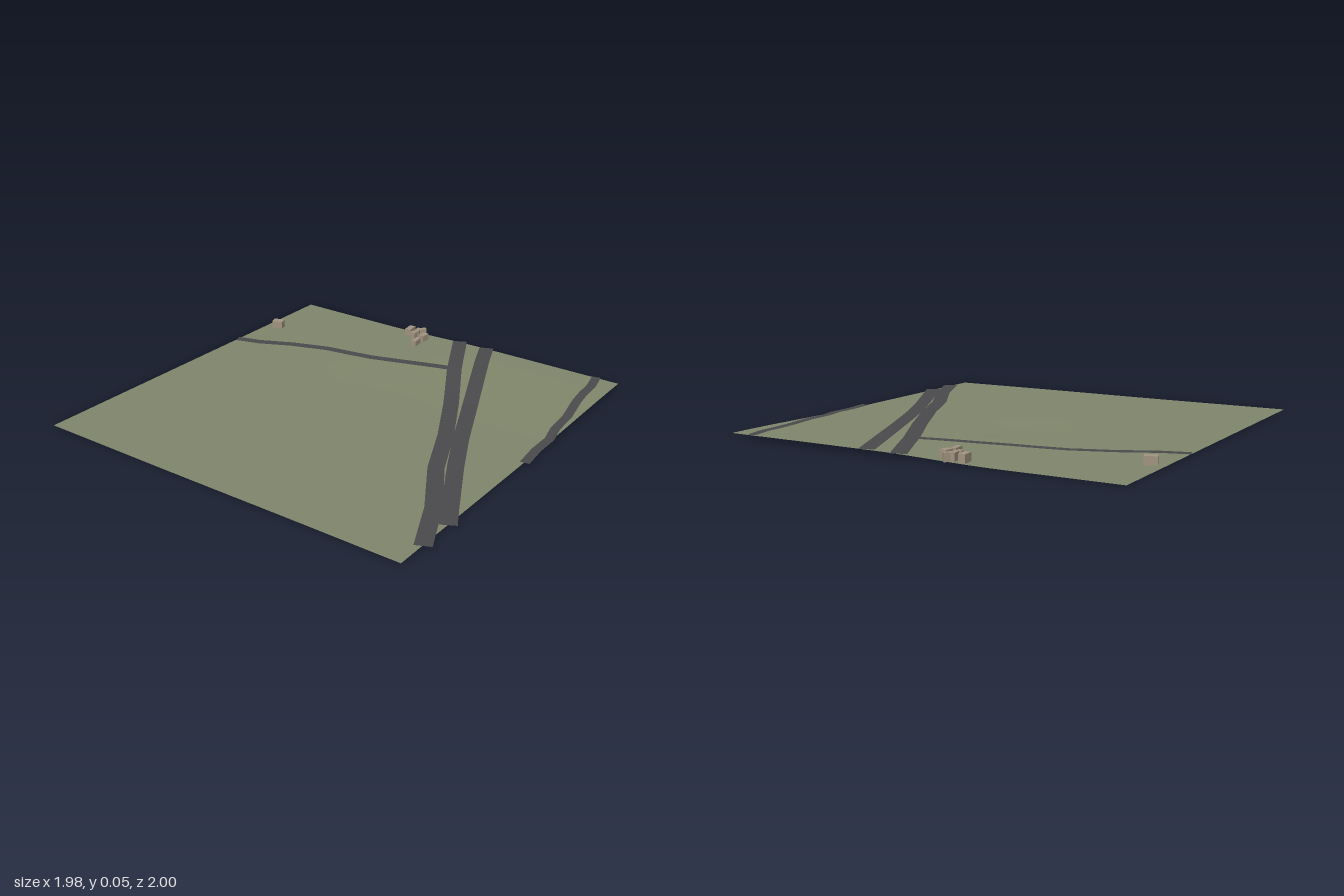
import * as THREE from 'three';

const X0 = -0.99, X1 = 0.965, Z0 = -0.995, Z1 = 0.955;
const step = THREE.MathUtils.smoothstep;

// Ground height: nearly flat, rising gently to the front right
function heightAt(x, z) {
  const rise = 0.012 * step(x, 0.1, 0.95) * step(z, -0.45, 0.15);
  const front = 0.003 * step(z, -0.4, 0.6);
  const dip = 0.006 * Math.exp(-((x - 0.2) ** 2 + (z + 0.12) ** 2) / 0.05);
  return 0.006 + rise + front - dip;
}

function material(color, side = THREE.FrontSide) {
  return new THREE.MeshStandardMaterial({ color, side });
}

function makeGround() {
  const geo = new THREE.PlaneGeometry(X1 - X0, Z1 - Z0, 40, 40);
  geo.rotateX(-Math.PI / 2);
  geo.translate((X0 + X1) / 2, 0, (Z0 + Z1) / 2);
  const p = geo.attributes.position;
  for (let i = 0; i < p.count; i++) p.setY(i, heightAt(p.getX(i), p.getZ(i)));
  geo.computeVertexNormals();
  const mesh = new THREE.Mesh(geo, material(0x7f866b, THREE.DoubleSide));
  mesh.name = 'ground';
  return mesh;
}

// Flat ribbon with mitred bends, draped over the ground
function makeRoad(name, points, width, lift) {
  const pts = points.map(([x, z]) => new THREE.Vector2(x, z));
  const normals = pts.map((p, i) => {
    const a = pts[Math.max(i - 1, 0)], b = pts[Math.min(i + 1, pts.length - 1)];
    const d = b.clone().sub(a).normalize();
    return new THREE.Vector2(-d.y, d.x).multiplyScalar(width / 2);
  });
  const pos = [], index = [];
  const addRow = (c, n) => {
    const y = heightAt(c.x, c.y) + lift;
    pos.push(c.x - n.x, y, c.y - n.y, c.x + n.x, y, c.y + n.y);
  };
  for (let i = 0; i < pts.length - 1; i++) {
    const count = Math.ceil(pts[i].distanceTo(pts[i + 1]) / 0.05);
    for (let k = 0; k < count; k++) {
      addRow(pts[i].clone().lerp(pts[i + 1], k / count), normals[i].clone().lerp(normals[i + 1], k / count));
    }
  }
  addRow(pts.at(-1), normals.at(-1));
  for (let r = 0; r < pos.length / 6 - 1; r++) {
    const a = r * 2;
    index.push(a, a + 1, a + 2, a + 1, a + 3, a + 2);
  }
  const geo = new THREE.BufferGeometry();
  geo.setAttribute('position', new THREE.Float32BufferAttribute(pos, 3));
  geo.setIndex(index);
  geo.computeVertexNormals();
  const mesh = new THREE.Mesh(geo, material(0x4a494c, THREE.DoubleSide));
  mesh.name = name;
  return mesh;
}

// Block house reaching from the ground up to a flat roof
function makeHouse([x, z, w, d, top, turn], i) {
  const base = heightAt(x, z) - 0.002;
  const mesh = new THREE.Mesh(new THREE.BoxGeometry(w, top - base, d), material(0xa0937f));
  mesh.position.set(x, (top + base) / 2, z);
  mesh.rotation.y = turn;
  mesh.name = `house${i + 1}`;
  return mesh;
}

export function createModel() {
  const model = new THREE.Group();
  model.name = 'terrainWithRoads';
  model.add(makeGround());

  // Roads: two wide main roads and two narrow lanes
  const roads = new THREE.Group();
  roads.name = 'roads';
  roads.add(
    makeRoad('mainRoadBack', [[0.97, 0.03], [0.64, 0.195], [0.3, 0.385], [0, 0.54],
      [-0.29, 0.67], [-0.58, 0.84], [-0.845, 0.96]], 0.075, 0.003),
    makeRoad('mainRoadFront', [[0.97, 0.195], [0.79, 0.27], [0.53, 0.385], [0, 0.62],
      [-0.235, 0.735], [-0.55, 0.9], [-0.66, 0.96]], 0.075, 0.0035),
    makeRoad('backLane', [[0.31, -0.995], [0.345, -0.87], [0.425, -0.7], [0.49, -0.51],
      [0.53, -0.25], [0.64, 0.175]], 0.047, 0.003),
    makeRoad('frontLane', [[-0.025, 0.96], [0.11, 0.945], [0.24, 0.945], [0.345, 0.92], [0.49, 0.91],
      [0.665, 0.875], [0.77, 0.863], [0.85, 0.86], [0.968, 0.835]], 0.045, 0.003),
  );
  model.add(roads);

  // Houses: x, z, width, depth, roof height, turn
  const houses = new THREE.Group();
  houses.name = 'houses';
  [
    [0.582, -0.928, 0.045, 0.058, 0.044, 0.35],
    [0.925, -0.265, 0.06, 0.032, 0.047, 0.1],
    [0.885, -0.215, 0.028, 0.03, 0.046, 0],
    [0.928, -0.215, 0.045, 0.026, 0.047, 0.15],
    [0.948, -0.2, 0.042, 0.024, 0.048, -0.7],
    [0.813, -0.153, 0.06, 0.025, 0.042, 0.1],
    [0.887, -0.153, 0.048, 0.034, 0.046, -0.1],
  ].forEach((h, i) => houses.add(makeHouse(h, i)));
  model.add(houses);
  return model;
}
